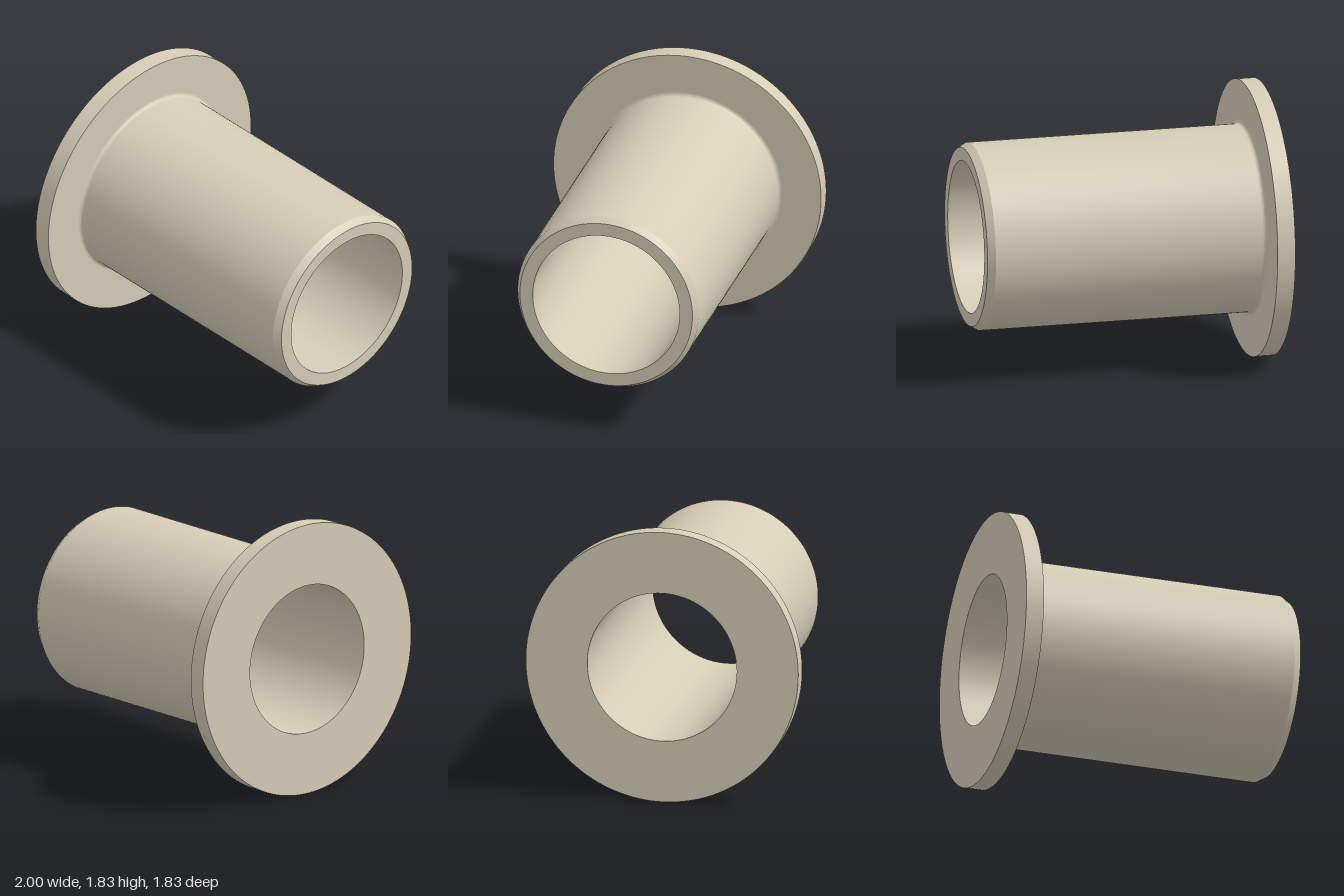
import * as THREE from 'three';
import { toCreasedNormals } from 'three/addons/utils/BufferGeometryUtils.js';

const FLANGE_R = 0.915, TUBE_R = 0.62, BORE_R = 0.502;
const FLANGE_X = -0.88, FILLET = 0.025, CHAMFER_X = 0.95, CHAMFER_R = 0.59;

export function createModel() {
  const model = new THREE.Group();
  model.name = 'flangedBushing';
  const beige = new THREE.MeshStandardMaterial({ color: 0xd6cdb6 });
  beige.name = 'beige plastic';

  // Revolves a [radius, x] profile around the x axis, keeping sharp edges sharp
  function revolve(name, profile) {
    const points = profile.map(([r, x]) => new THREE.Vector2(r, x));
    const geometry = toCreasedNormals(new THREE.LatheGeometry(points, 128), 0.45);
    geometry.rotateZ(-Math.PI / 2);
    const mesh = new THREE.Mesh(geometry, beige);
    mesh.name = name;
    mesh.position.y = FLANGE_R;
    model.add(mesh);
  }

  // Flange disc: back face, rim and front face
  revolve('flange', [
    [BORE_R, -1], [FLANGE_R, -1], [FLANGE_R, FLANGE_X], [TUBE_R + FILLET, FLANGE_X],
  ]);

  // Sleeve: concave root fillet, cylinder, chamfered tip and end ring
  const fillet = [];
  for (let i = 0; i <= 6; i++) {
    const a = (i / 6) * Math.PI / 2;
    fillet.push([TUBE_R + FILLET * (1 - Math.sin(a)), FLANGE_X + FILLET * (1 - Math.cos(a))]);
  }
  revolve('sleeve', [...fillet, [TUBE_R, CHAMFER_X], [CHAMFER_R, 1], [BORE_R, 1]]);

  // Through bore, facing inward
  revolve('bore', [[BORE_R, 1], [BORE_R, -1]]);

  return model;
}
